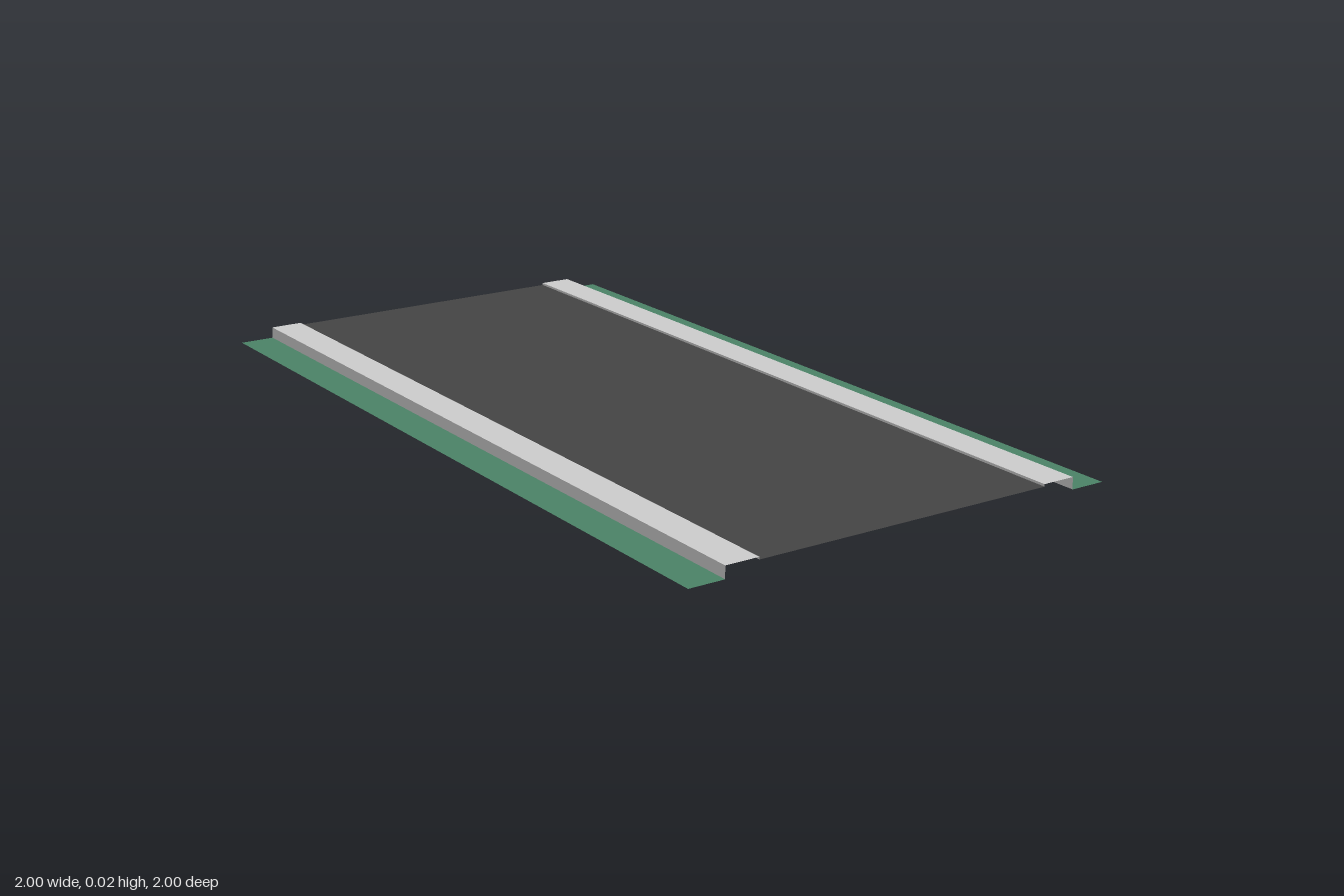
import * as THREE from 'three';

const HALF_LENGTH = 1;
const SKEW = -0.5; // sideways shift of the road per unit of z

// Sweeps an open cross-section of [x, y] points (left to right) along the skewed road.
function sweptStrip(name, profile, color) {
  const positions = [];
  for (let i = 0; i < profile.length - 1; i++) {
    const [x0, y0] = profile[i];
    const [x1, y1] = profile[i + 1];
    const at = (x, y, z) => [x + SKEW * z, y, z];
    const a = at(x0, y0, HALF_LENGTH), b = at(x1, y1, HALF_LENGTH);
    const c = at(x1, y1, -HALF_LENGTH), d = at(x0, y0, -HALF_LENGTH);
    positions.push(...a, ...b, ...c, ...a, ...c, ...d);
  }
  const geometry = new THREE.BufferGeometry();
  geometry.setAttribute('position', new THREE.Float32BufferAttribute(positions, 3));
  geometry.computeVertexNormals();
  const material = new THREE.MeshStandardMaterial({ color, side: THREE.DoubleSide });
  const mesh = new THREE.Mesh(geometry, material);
  mesh.name = name;
  return mesh;
}

export function createModel() {
  const group = new THREE.Group();
  group.name = 'diagonalRoad';

  const edge = 0.5, curbOuter = 0.42, curbInner = 0.345;
  const curbTop = 0.02, roadTop = 0.016;

  // Asphalt surface
  group.add(sweptStrip('roadSurface', [[-curbInner, roadTop], [curbInner, roadTop]], 0x444444));

  for (const [side, s] of [['left', 1], ['right', -1]]) {
    // Reversing one side keeps every surface facing up and outwards
    const order = (points) => (s > 0 ? points : points.reverse());

    // Raised curb: step up from the road, flat top, outer wall to the ground
    group.add(sweptStrip(`${side}Curb`, order([
      [s * curbInner, roadTop], [s * curbInner, curbTop],
      [s * curbOuter, curbTop], [s * curbOuter, 0],
    ]), 0xcccccc));

    // Flat grass verge
    group.add(sweptStrip(`${side}Verge`, order([[s * curbOuter, 0], [s * edge, 0]]), 0x4a8266));
  }
  return group;
}
